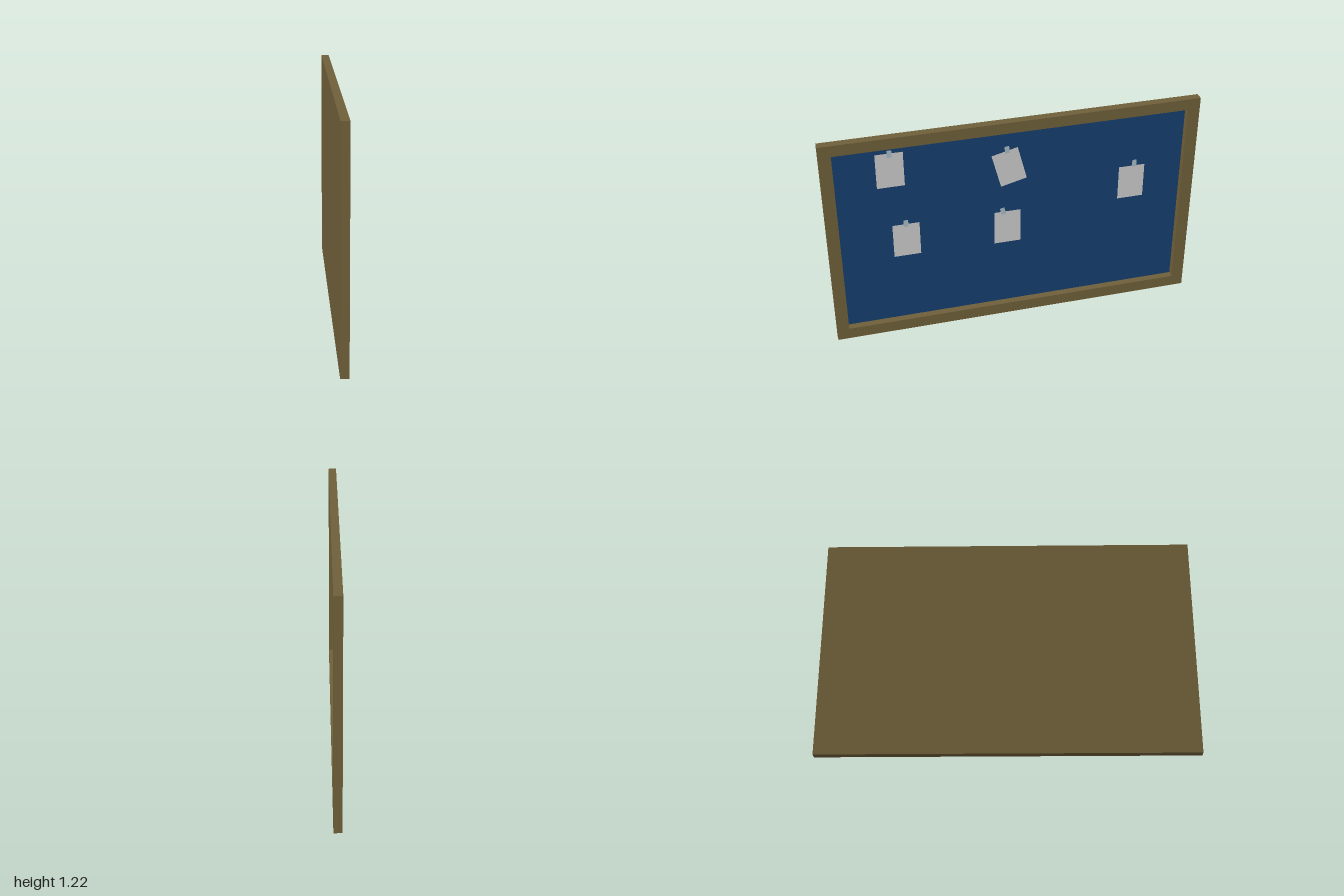
import * as THREE from 'three';

const W = 2, H = 1.222, D = 0.044; // board size
const PANEL = -0.016;              // depth of the recessed panel face

function material(color, side = THREE.FrontSide) {
  return new THREE.MeshStandardMaterial({ color, side });
}

function rectangle(Type, x0, y0, x1, y1) {
  const r = new Type();
  r.moveTo(x0, y0);
  r.lineTo(x1, y0);
  r.lineTo(x1, y1);
  r.lineTo(x0, y1);
  r.closePath();
  return r;
}

export function createModel() {
  // Built facing +z, then turned to face +x
  const board = new THREE.Group();
  board.name = 'noticeBoard';
  board.rotation.y = Math.PI / 2;

  const add = (name, geometry, mat, x, y, z, turn = 0) => {
    const mesh = new THREE.Mesh(geometry, mat);
    mesh.name = name;
    mesh.position.set(x, y, z);
    mesh.rotation.z = turn;
    board.add(mesh);
  };

  const wood = material(0x70603a);
  const felt = material(0x153f6e);
  const paper = material(0xcccccc, THREE.DoubleSide);
  const tape = material(0xa9bcc4, THREE.DoubleSide);

  // Frame with a rectangular opening
  const outline = rectangle(THREE.Shape, -W / 2, 0, W / 2, H);
  outline.holes.push(rectangle(THREE.Path, -0.935, 0.065, 0.935, 1.16));
  add('frame', new THREE.ExtrudeGeometry(outline, { depth: D, bevelEnabled: false }), wood, 0, 0, -D / 2);

  // Wooden back and the blue panel inside the frame
  const cy = (0.065 + 1.16) / 2;
  add('back', new THREE.BoxGeometry(1.87, 1.095, 0.004), wood, 0, cy, -D / 2 + 0.002);
  add('panel', new THREE.PlaneGeometry(1.87, 1.095), felt, 0, cy, PANEL);

  // Notes: [x, y, turn], each with its tape strip: [x, y, turn]
  const notes = [
    [[-0.647, 1.016, 0], [-0.645, 1.113, 0]],
    [[-0.024, 0.938, 0.25], [-0.036, 1.045, 0.08]],
    [[0.655, 0.74, 0], [0.668, 0.855, 0]],
    [[-0.583, 0.575, 0], [-0.583, 0.68, 0]],
    [[-0.035, 0.563, 0], [-0.06, 0.668, 0.25]],
  ];
  const sheet = new THREE.PlaneGeometry(0.144, 0.2);
  const strip = new THREE.PlaneGeometry(0.025, 0.042);
  notes.forEach(([n, t], i) => {
    add(`note${i + 1}`, sheet, paper, n[0], n[1], PANEL + 0.003, n[2]);
    add(`tape${i + 1}`, strip, tape, t[0], t[1], PANEL + 0.005, t[2]);
  });

  const model = new THREE.Group();
  model.add(board);
  return model;
}
